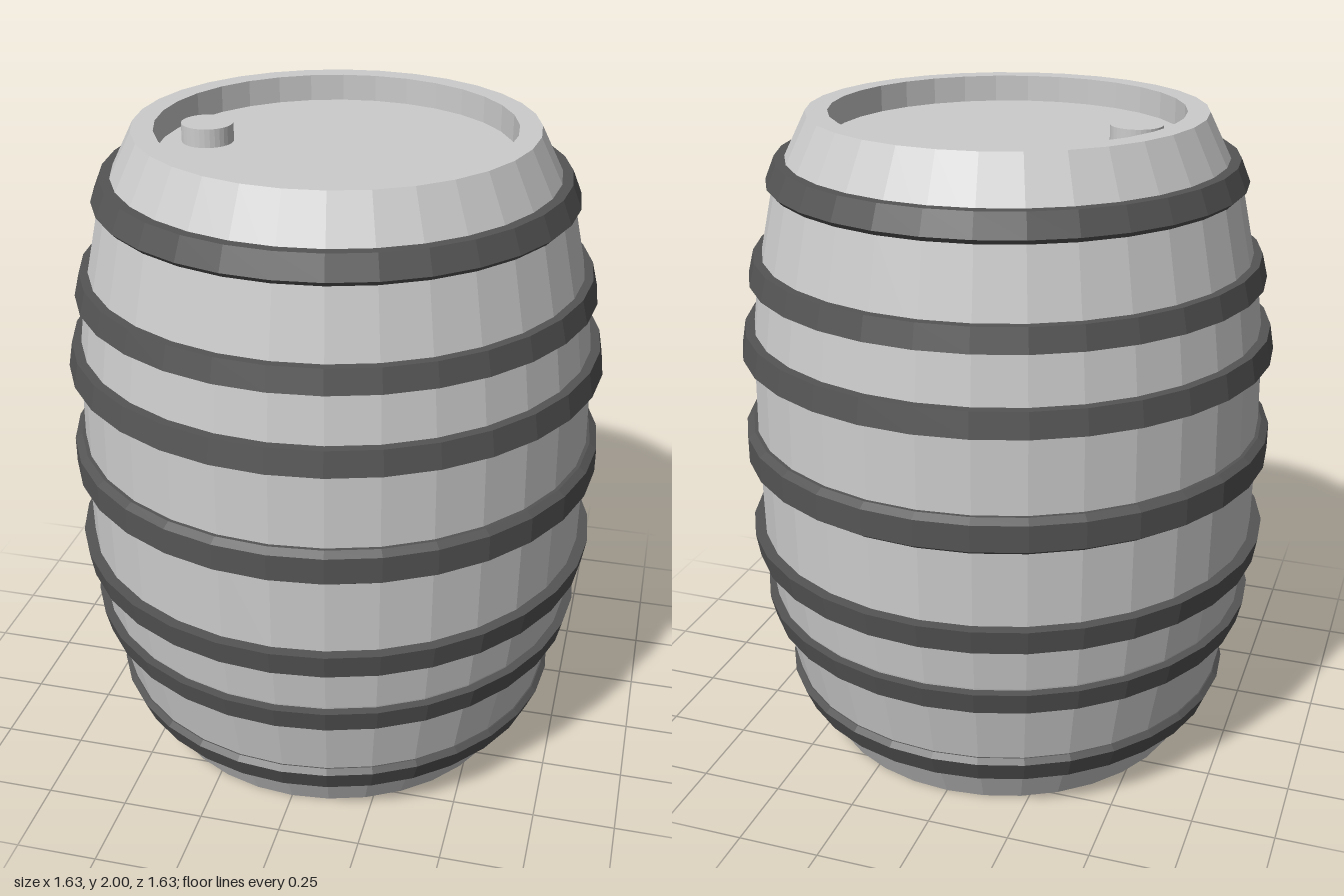
import * as THREE from 'three';

const SIDES = 32;

// Revolves [radius, height] pairs, listed from bottom to top along the outside
function lathe(name, points, material) {
  const profile = points.map(([r, y]) => new THREE.Vector2(r, y));
  const mesh = new THREE.Mesh(new THREE.LatheGeometry(profile, SIDES), material);
  mesh.name = name;
  return mesh;
}

// Reflects a profile about mid-height, keeping the bottom-to-top order
const mirror = (points) => points.map(([r, y]) => [r, 2 - y]).reverse();

export function createModel() {
  const barrel = new THREE.Group();
  barrel.name = 'barrel';
  const wood = new THREE.MeshStandardMaterial({ color: 0xcccccc, flatShading: true });
  const iron = new THREE.MeshStandardMaterial({ color: 0x555555, flatShading: true });

  // Bulging body with a raised rim around a recessed lid at each end
  const lowerHalf = [
    [0, 0.08], [0.525, 0.08], [0.525, 0], [0.59, 0],
    [0.695, 0.21], [0.755, 0.49], [0.78, 0.68],
  ];
  barrel.add(lathe('body', [...lowerHalf, [0.785, 1], ...mirror(lowerHalf)], wood));

  // Hoops of the upper half, mirrored to the lower half
  const hoops = [
    [[0.68, 1.785], [0.7, 1.785], [0.715, 1.8], [0.687, 1.868], [0.64, 1.868]],
    [[0.74, 1.515], [0.782, 1.515], [0.765, 1.585], [0.72, 1.585]],
    [[0.76, 1.29], [0.815, 1.29], [0.802, 1.365], [0.75, 1.365]],
  ];
  for (const hoop of hoops) {
    barrel.add(lathe('upperHoop', hoop, iron));
    barrel.add(lathe('lowerHoop', mirror(hoop), iron));
  }
  barrel.add(lathe('middleHoop', [
    [0.76, 0.945], [0.795, 0.945], [0.817, 0.96],
    [0.817, 1.04], [0.795, 1.055], [0.76, 1.055],
  ], iron));

  // A bung standing on each lid
  for (const [name, y] of [['topBung', 1.94], ['bottomBung', 0.06]]) {
    const bung = new THREE.Mesh(new THREE.CylinderGeometry(0.077, 0.077, 0.07, SIDES), wood);
    bung.name = name;
    bung.position.set(-0.39, y, 0);
    barrel.add(bung);
  }

  return barrel;
}
